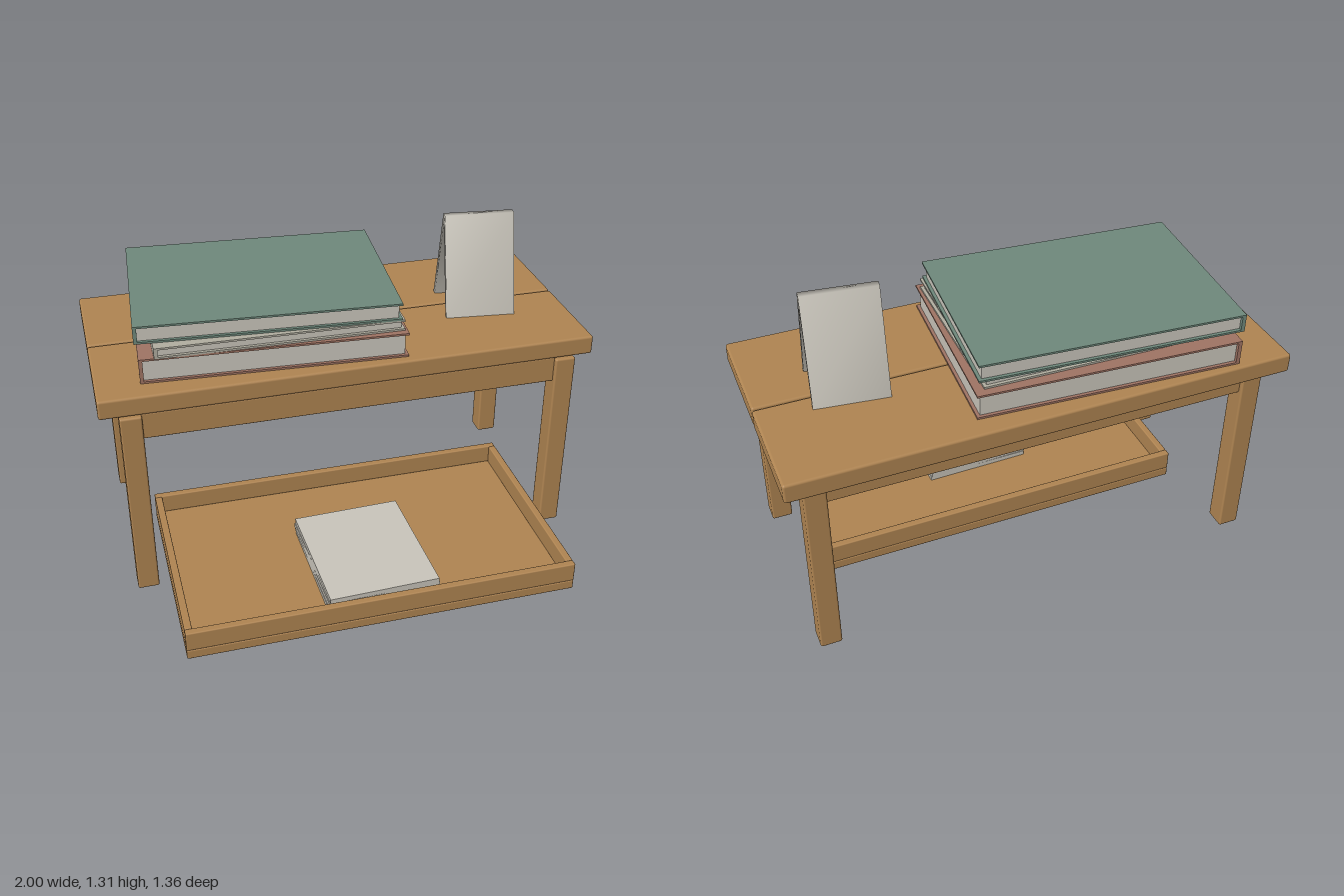
import * as THREE from 'three';
import { RoundedBoxGeometry } from 'three/addons/geometries/RoundedBoxGeometry.js';
import { mergeVertices } from 'three/addons/utils/BufferGeometryUtils.js';

const material = (name, color) => {
  const m = new THREE.MeshStandardMaterial({ color });
  m.name = name;
  return m;
};

export function createModel() {
  const wood = material('wood', 0xb08552);
  const paper = material('paper', 0xcac6bc);
  const green = material('green cover', 0x6f897c);
  const red = material('red cover', 0xa07464);
  const beige = material('beige cover', 0xb2afa1);
  const model = new THREE.Group();

  const group = (name, parent = model) => {
    const g = new THREE.Group();
    g.name = name;
    parent.add(g);
    return g;
  };

  // Box given by its limits on each axis; a radius softens the edges
  const box = (parent, name, mat, [x0, x1], [y0, y1], [z0, z1], radius = 0) => {
    const size = [x1 - x0, y1 - y0, z1 - z0];
    const geometry = radius ? new RoundedBoxGeometry(...size, 2, radius) : new THREE.BoxGeometry(...size);
    const mesh = new THREE.Mesh(geometry, mat);
    mesh.name = name;
    mesh.position.set((x0 + x1) / 2, (y0 + y1) / 2, (z0 + z1) / 2);
    parent.add(mesh);
    return mesh;
  };

  // Bench: two planks, four legs and two long rails
  const bench = group('bench');
  box(bench, 'backPlank', wood, [-1, 1], [0.82, 0.9], [-0.68, -0.237], 0.01);
  box(bench, 'frontPlank', wood, [-1, 1], [0.82, 0.9], [-0.229, 0.215], 0.01);
  for (const [end, z] of [['front', 0.182], ['back', -0.578]]) {
    for (const [side, x] of [['Left', 0.882], ['Right', -0.882]]) {
      box(bench, `${end}${side}Leg`, wood, [x - 0.043, x + 0.043], [0, 0.817], [z - 0.043, z + 0.043], 0.008);
    }
    box(bench, `${end}Rail`, wood, [-0.842, 0.842], [0.71, 0.82], [z - 0.026, z + 0.026], 0.005);
  }

  // Low tray slid under the bench
  const tray = group('tray');
  box(tray, 'trayBase', wood, [-0.793, 0.793], [0, 0.041], [-0.245, 0.68], 0.005);
  for (const [name, z] of [['trayFront', 0.65], ['trayBack', -0.245]]) {
    box(tray, name, wood, [-0.793, 0.793], [0.041, 0.125], [z, z + 0.03], 0.005);
  }
  for (const [name, x] of [['trayLeftSide', 0.763], ['trayRightSide', -0.793]]) {
    box(tray, name, wood, [x, x + 0.03], [0.041, 0.125], [-0.215, 0.65], 0.005);
  }

  // Loose stack of paper in the tray, each layer turned slightly
  const stack = group('paperStack');
  [0.02, 0.035, 0.045, 0.03].forEach((turn, i) => {
    const y = 0.041 + i * 0.02;
    const layer = box(stack, 'paperLayer', paper, [-0.226, 0.226], [y, y + 0.02], [0.08, 0.622]);
    layer.rotation.y = turn;
  });

  // Hardback book with its spine on the right side (-x)
  const addBook = (name, cover, w, h, d, x, y, z, turn) => {
    const book = group(name);
    const t = 0.008, inset = 0.013, hw = w / 2, hd = d / 2;
    box(book, 'bottomCover', cover, [-hw, hw], [0, t], [-hd, hd]);
    box(book, 'topCover', cover, [-hw, hw], [h - t, h], [-hd, hd]);
    box(book, 'spine', cover, [-hw, -hw + 0.015], [t, h - t], [-hd, hd]);
    box(book, 'pages', paper, [-hw + 0.015, hw - inset], [t, h - t], [-hd + inset, hd - inset]);
    book.position.set(x, y, z);
    book.rotation.y = turn;
  };
  addBook('bottomBook', red, 1.05, 0.103, 0.776, -0.28, 0.9, -0.237, -0.057);
  addBook('middleBook', beige, 0.98, 0.046, 0.715, -0.27, 1.003, -0.216, -0.02);
  addBook('topBook', green, 1.038, 0.073, 0.737, -0.29, 1.049, -0.25, -0.0724);

  // Folded card: inverted V profile pulled along x, with soft shading
  const profile = new THREE.Shape([
    [-0.132, 0], [-0.107, 0], [0, 0.375], [0.107, 0], [0.132, 0], [0.016, 0.41], [-0.016, 0.41],
  ].map(([x, y]) => new THREE.Vector2(x, y)));
  let fold = new THREE.ExtrudeGeometry(profile, { depth: 0.29, bevelEnabled: false });
  fold.translate(0, 0, -0.145).rotateY(Math.PI / 2);
  fold.deleteAttribute('normal');
  fold.deleteAttribute('uv');
  fold = mergeVertices(fold);
  fold.computeVertexNormals();
  const card = new THREE.Mesh(fold, paper);
  card.name = 'foldedCard';
  card.position.set(0.634, 0.9, -0.204);
  card.rotation.y = -0.12;
  model.add(card);

  return model;
}
